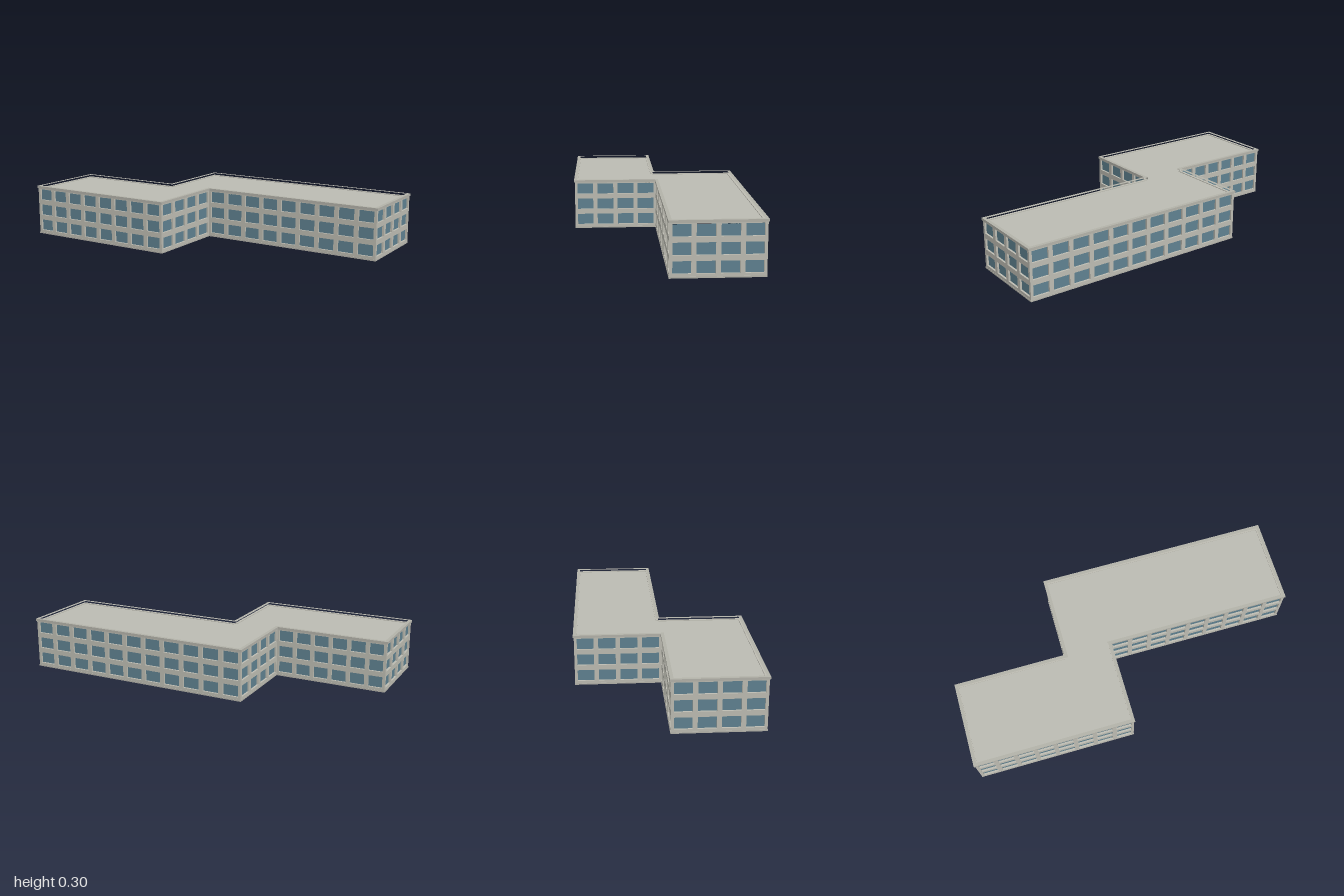
import * as THREE from 'three';

const HEIGHT = 0.3, WALL_TOP = 0.286, THICK = 0.016;
const FLOORS = 3, FLOOR_H = 0.0955, SILL = 0.023, WIN_H = 0.066;

// Footprint of two offset wings, as [x, z] before the building is turned
const PLAN = [
  [-0.355, -0.495], [1.0165, -0.495], [1.0165, 0], [-0.077, 0],
  [-0.077, 0.495], [-1.0165, 0.495], [-1.0165, 0], [-0.355, 0],
];

const paint = (name, color, side = THREE.FrontSide) => {
  const m = new THREE.MeshStandardMaterial({ color, side });
  m.name = name;
  return m;
};

// Outward direction of the edge that starts at corner i
function outward(i) {
  const n = PLAN.length;
  const [ax, az] = PLAN[(i + n) % n], [bx, bz] = PLAN[(i + 1) % n];
  const len = Math.hypot(bx - ax, bz - az);
  return [(bz - az) / len, -(bx - ax) / len];
}

// Footprint grown (or shrunk, if negative) by d, in shape coordinates
function outline(d) {
  return PLAN.map(([x, z], i) => {
    const a = outward(i - 1), b = outward(i);
    return new THREE.Vector2(x + d * (a[0] + b[0]), -(z + d * (a[1] + b[1])));
  });
}

// Flat band following the footprint, between two offsets
function ring(name, outer, inner, y, height, material) {
  const shape = new THREE.Shape(outline(outer));
  shape.holes.push(new THREE.Path(outline(inner)));
  const geo = new THREE.ExtrudeGeometry(shape, { depth: height, bevelEnabled: false });
  const mesh = new THREE.Mesh(geo.rotateX(-Math.PI / 2), material);
  mesh.position.y = y;
  mesh.name = name;
  return mesh;
}

// One facade: wall with window openings and a recessed glass sheet
function facade(i, wallMat, glassMat) {
  const p = PLAN[i], q = PLAN[(i + 1) % PLAN.length];
  const len = Math.hypot(q[0] - p[0], q[1] - p[1]);
  const bays = Math.round(len / 0.12), pitch = len / bays, w = pitch * 0.79;

  const shape = new THREE.Shape([[0, 0], [len, 0], [len, WALL_TOP], [0, WALL_TOP]]
    .map(([x, y]) => new THREE.Vector2(x, y)));
  for (let f = 0; f < FLOORS; f++) {
    for (let b = 0; b < bays; b++) {
      const x = (b + 0.5) * pitch - w / 2, y = SILL + f * FLOOR_H;
      shape.holes.push(new THREE.Path([[x, y], [x, y + WIN_H], [x + w, y + WIN_H], [x + w, y]]
        .map(([px, py]) => new THREE.Vector2(px, py))));
    }
  }
  const wall = new THREE.Mesh(
    new THREE.ExtrudeGeometry(shape, { depth: THICK, bevelEnabled: false }), wallMat);
  wall.position.z = -THICK;
  wall.name = 'wall';

  const glass = new THREE.Mesh(new THREE.PlaneGeometry(len - 0.01, WALL_TOP - 0.02), glassMat);
  glass.position.set(len / 2, WALL_TOP / 2, -0.011);
  glass.name = 'windowGlass';

  const group = new THREE.Group();
  const n = outward(i);
  group.position.set(q[0], 0, q[1]);
  group.rotation.y = Math.atan2(n[0], n[1]);
  group.add(wall, glass);
  group.name = 'facade' + (i + 1);
  return group;
}

export function createModel() {
  const wallMat = paint('wall concrete', 0xbdbcb2);
  const roofMat = paint('roof gravel', 0xbbbbb2, THREE.DoubleSide);
  const trimMat = paint('trim stone', 0xb3b2a9);
  const glassMat = paint('window glass', 0x5f8190, THREE.DoubleSide);

  const building = new THREE.Group();
  building.name = 'building';
  PLAN.forEach((_, i) => building.add(facade(i, wallMat, glassMat)));

  // Roof deck, set just below the parapet
  const roof = new THREE.Mesh(
    new THREE.ShapeGeometry(new THREE.Shape(outline(-0.008))).rotateX(-Math.PI / 2), roofMat);
  roof.position.y = 0.282;
  roof.name = 'roof';
  building.add(roof);

  // Parapet coping and base course
  building.add(ring('parapetCoping', 0.005, -THICK + 0.002, WALL_TOP, HEIGHT - WALL_TOP, trimMat));
  building.add(ring('baseCourse', 0.002, -0.004, 0, 0.008, trimMat));

  // The whole building stands turned on its plot
  building.rotation.y = THREE.MathUtils.degToRad(11.8);
  const model = new THREE.Group();
  model.name = 'officeBlock';
  model.add(building);
  return model;
}
